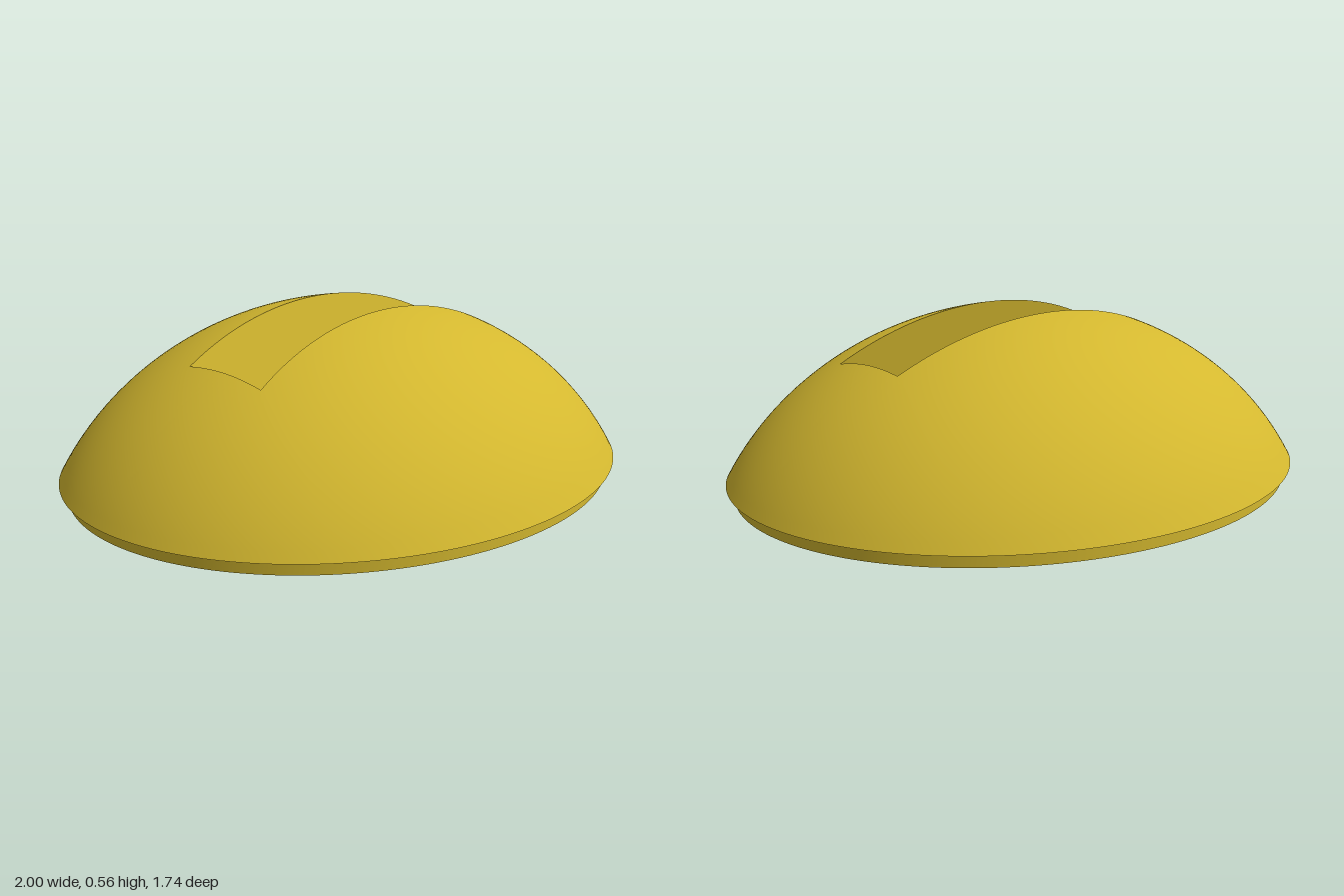
import * as THREE from 'three';
import { toCreasedNormals } from 'three/addons/utils/BufferGeometryUtils.js';

const TOP = 0.57, RIM = 0.043, DEPTH = 0.868;      // dome height, rim height, z half-size
const LEAN = 0.2126;                               // slot leans back by 12 degrees
const E0 = -0.03, E1 = 0.283, HALF = 0.575;        // slot extents across and along x
const CORNER = 0.14;                               // rounding of the slot's lower ends
const N = 240;

const K = 0.8, B = (TOP - RIM) / (1 - Math.sqrt(1 - K));
const domeY = (x, z) => TOP - B + B * Math.sqrt(Math.max(0, 1 - K * (x * x + (z / DEPTH) ** 2)));

// Slot coordinates: e is the position across the slot, z follows the lean
const slotPoint = (x, y, e) => [x, y, e - LEAN * y];
function floorY(x, e) {
  const over = Math.min(CORNER, Math.max(0, Math.abs(x) - (HALF - CORNER)));
  return 0.118 + 0.2034 * (e - E0) + CORNER - Math.sqrt(CORNER * CORNER - over * over);
}
function onDome(x, e) {
  let y = TOP;
  for (let i = 0; i < 20; i++) y = domeY(x, e - LEAN * y);
  return slotPoint(x, y, e);
}

// Surface through equal-length rows of points
function loft(rows) {
  const n = rows[0].length, index = [];
  for (let i = 0; i < rows.length - 1; i++)
    for (let j = 0; j < n - 1; j++) {
      const a = i * n + j, c = a + n;
      index.push(a, a + 1, c + 1, a, c + 1, c);
    }
  const g = new THREE.BufferGeometry();
  g.setAttribute('position', new THREE.Float32BufferAttribute(rows.flat(2), 3));
  g.setIndex(index);
  return toCreasedNormals(g, 0.5);
}

// Flat shape drawn in (x, e), placed by a rule
function sheet(shape, place, faceUp) {
  const g = new THREE.ShapeGeometry(shape, 48), p = g.attributes.position;
  for (let i = 0; i < p.count; i++) p.setXYZ(i, ...place(p.getX(i), p.getY(i)));
  if (faceUp) g.index.array.reverse();
  g.computeVertexNormals();
  return g;
}

const loop = (fn) => Array.from({ length: N + 1 }, (_, i) => fn((i % N) / N * Math.PI * 2));
const oval = (a, b, y) => loop((t) => [a * Math.cos(t), y, b * Math.sin(t)]);

export function createModel() {
  const group = new THREE.Group();
  const gold = new THREE.MeshStandardMaterial({ color: 0xd4b82f, side: THREE.DoubleSide });
  gold.name = 'gold';
  const green = new THREE.MeshStandardMaterial({ color: 0x9dcb60, side: THREE.DoubleSide });
  green.name = 'green';
  const add = (name, geometry, material = gold) => {
    const m = new THREE.Mesh(geometry, material);
    m.name = name;
    group.add(m);
    return m;
  };

  // Slot outline, as [x, e] around a rectangle
  const outline = loop((t) => {
    const c = Math.cos(t), s = Math.sin(t), m = Math.max(Math.abs(c), Math.abs(s));
    return [HALF * c / m, (E0 + E1) / 2 + (E1 - E0) / 2 * s / m];
  });
  const mouth = outline.map(([x, e]) => onDome(x, e));

  // Dome skin, from the slot's mouth out to the rim
  const rim = oval(1, DEPTH, RIM), rows = [], RINGS = 24;
  for (let i = 0; i <= RINGS; i++) {
    const f = i / RINGS;
    rows.push(mouth.map((p, j) => {
      const x = p[0] + (rim[j][0] - p[0]) * f, z = p[2] + (rim[j][2] - p[2]) * f;
      return [x, domeY(x, z), z];
    }));
  }
  add('dome', loft(rows));

  // Slot walls
  add('slotWalls', loft([outline.map(([x, e]) => slotPoint(x, floorY(x, e), e)), mouth]));

  // Rounded lower ends of the slot
  for (const side of [-1, 1]) {
    const ends = [];
    for (let i = 0; i <= 16; i++) {
      const a = (side > 0 ? i : 16 - i) / 16 * Math.PI / 2;
      const x = side * (HALF - CORNER + CORNER * Math.sin(a));
      ends.push([E0, E1].map((e) => slotPoint(x, floorY(x, e), e)));
    }
    add(side > 0 ? 'slotEndLeft' : 'slotEndRight', loft(ends));
  }

  // Slot floor with a rounded connector recess
  const recess = [], r = 0.03;
  [[1, 1], [-1, 1], [-1, -1], [1, -1]].forEach(([sx, se], q) => {
    for (let i = 0; i <= 6; i++) {
      const a = (q + i / 6) * Math.PI / 2;
      recess.push([sx * (0.155 - r) + r * Math.cos(a), 0.13 + se * (0.092 - r) + r * Math.sin(a)]);
    }
  });
  const toVectors = (pts) => pts.map(([x, e]) => new THREE.Vector2(x, e));
  const w = HALF - CORNER;
  const floor = new THREE.Shape(toVectors([[-w, E0], [w, E0], [w, E1], [-w, E1]]));
  floor.holes.push(new THREE.Path(toVectors(recess)));
  const onFloor = (drop) => (x, e) => slotPoint(x, floorY(x, e) - drop, e);
  add('slotFloor', sheet(floor, onFloor(0), true));
  const closed = [...recess, recess[0]];
  add('recessWalls', loft([0.09, 0].map((d) => closed.map(([x, e]) => onFloor(d)(x, e)))));
  add('recessFloor', sheet(new THREE.Shape(toVectors(recess)), onFloor(0.09), true));

  // Stepped base edge and underside with four round pockets
  add('baseEdge', loft([rim, oval(0.975, 0.845, RIM), oval(0.975, 0.845, 0)]));
  const under = new THREE.Shape();
  under.absellipse(0, 0, 0.975, 0.845, 0, Math.PI * 2);
  const pocket = new THREE.LatheGeometry(
    [[0.105, 0], [0.105, 0.036], [0, 0.036]].map(([x, y]) => new THREE.Vector2(x, y)), 48);
  const pocketGeometry = toCreasedNormals(pocket, 0.5);
  for (const sx of [-1, 1])
    for (const sz of [-1, 1]) {
      const x = sx * 0.555, z = sz * 0.48;
      const hole = new THREE.Path();
      hole.absarc(x, z, 0.105, 0, Math.PI * 2);
      under.holes.push(hole);
      add('footPocket', pocketGeometry, green).position.set(x, 0, z);
    }
  add('underside', sheet(under, (x, e) => [x, 0, e], false));

  return group;
}
